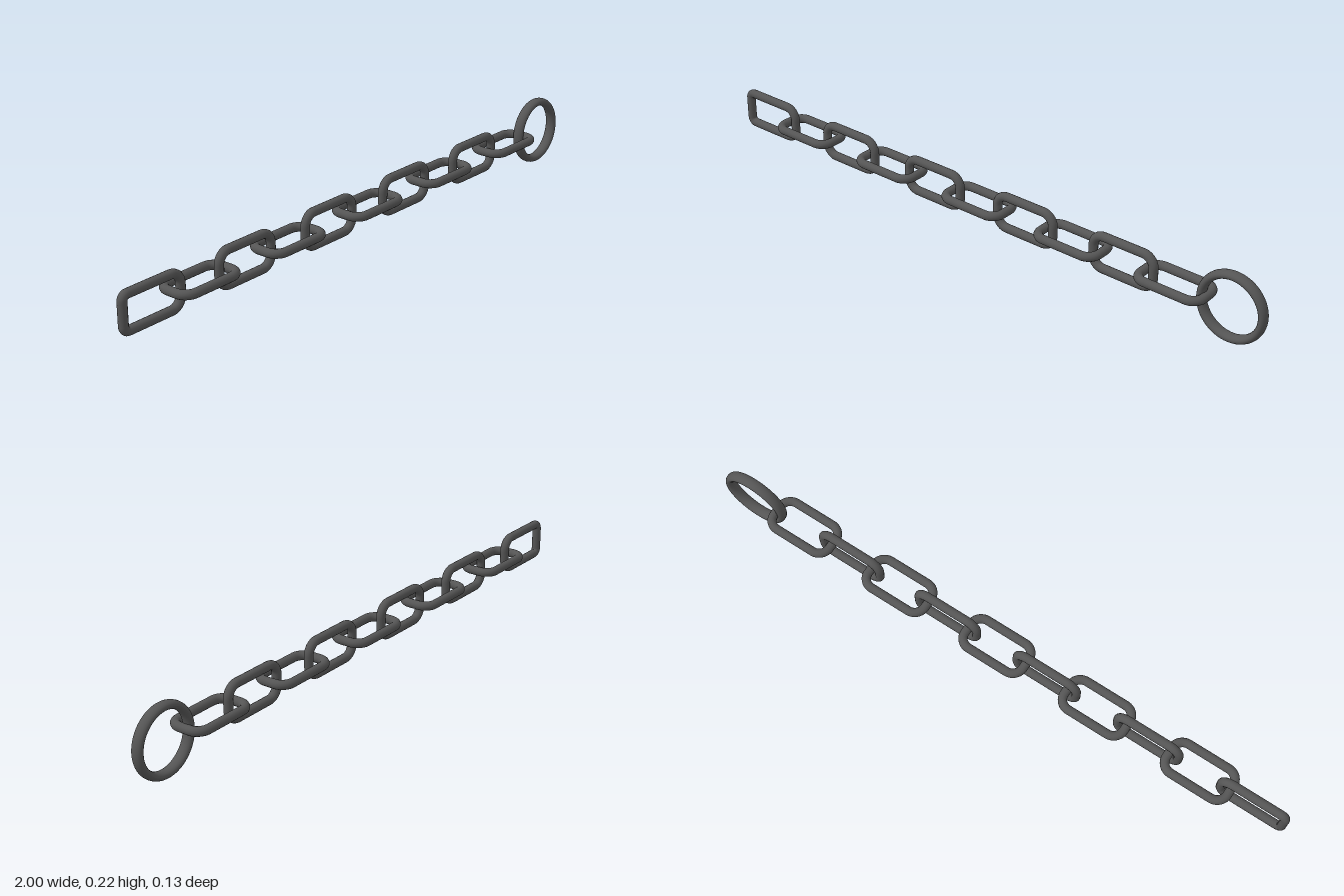
import * as THREE from 'three';

const WIRE = 0.014;   // link wire radius
const MID_Y = 0.111;  // height of the chain axis
const PITCH = 0.1765; // distance between link centres

// Closed rounded-rectangle centreline, with its own corner radius at each end
class LinkCurve extends THREE.Curve {
  constructor(halfLength, halfWidth, leftRadius, rightRadius) {
    super();
    const a = halfLength, b = halfWidth, l = leftRadius, r = rightRadius, q = Math.PI / 2;
    this.outline = new THREE.Shape()
      .moveTo(0, -b)
      .lineTo(a - r, -b)
      .absarc(a - r, -b + r, r, -q, 0)
      .lineTo(a, b - r)
      .absarc(a - r, b - r, r, 0, q)
      .lineTo(-a + l, b)
      .absarc(-a + l, b - l, l, q, 2 * q)
      .lineTo(-a, -b + l)
      .absarc(-a + l, -b + l, l, 2 * q, 3 * q)
      .lineTo(0, -b);
  }

  getPoint(t, target = new THREE.Vector3()) {
    const p = this.outline.getPoint(t);
    return target.set(p.x, p.y, 0);
  }
}

function linkGeometry(leftRadius, rightRadius) {
  const curve = new LinkCurve(0.1175 - WIRE, 0.0665 - WIRE, leftRadius, rightRadius);
  return new THREE.TubeGeometry(curve, 112, WIRE, 14, true);
}

// Ring with an oval section, wider along its axis than across
function ringGeometry(outerRadius, radial, axial) {
  const profile = [];
  for (let i = 0; i <= 20; i++) {
    const a = -Math.PI / 2 + (i / 20) * Math.PI * 2;
    profile.push(new THREE.Vector2(outerRadius - radial + radial * Math.cos(a), axial * Math.sin(a)));
  }
  return new THREE.LatheGeometry(profile, 72).rotateX(Math.PI / 2);
}

export function createModel() {
  const model = new THREE.Group();
  model.name = 'chain';
  const metal = new THREE.MeshStandardMaterial({ color: 0x555555 });

  // Links alternate between upright and flat; the first has a squarer free end
  const endLink = linkGeometry(0.017, 0.036);
  const plainLink = linkGeometry(0.036, 0.036);
  for (let i = 0; i < 10; i++) {
    const link = new THREE.Mesh(i === 0 ? endLink : plainLink, metal);
    link.name = i === 0 ? 'endLink' : i % 2 ? 'flatLink' : 'uprightLink';
    link.position.set(-0.8825 + i * PITCH, MID_Y, 0);
    if (i % 2) link.rotation.x = Math.PI / 2;
    model.add(link);
  }

  // Large round ring closing the other end
  const ring = new THREE.Mesh(ringGeometry(0.11, 0.0125, 0.018), metal);
  ring.name = 'endRing';
  ring.position.set(0.89, 0.11, 0);
  model.add(ring);

  return model;
}
